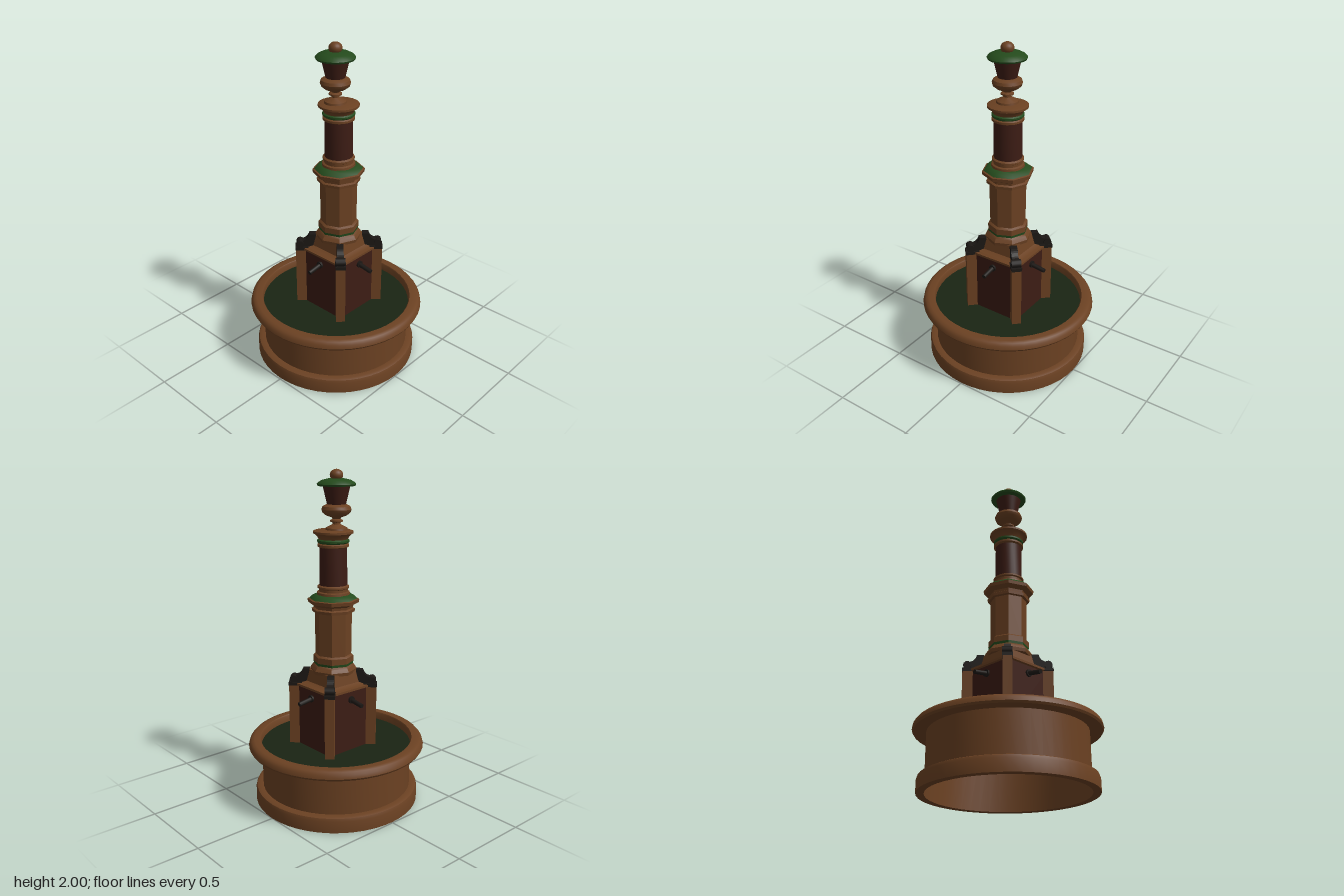
import * as THREE from 'three';
import { toCreasedNormals } from 'three/addons/utils/BufferGeometryUtils.js';

const material = (color) => new THREE.MeshStandardMaterial({ color, side: THREE.DoubleSide });
const stone = material(0x6b4122);
const darkStone = material(0x3c1c14);
const green = material(0x244a1c);
const water = material(0x1a2413);
const metal = material(0x1c1815);

function add(parent, name, geometry, mat, x = 0, y = 0, z = 0) {
  const mesh = new THREE.Mesh(geometry, mat);
  mesh.name = name;
  mesh.position.set(x, y, z);
  parent.add(mesh);
  return mesh;
}

// Turned profile of [radius, height] pairs; few sides give a faceted prism.
function turned(parent, name, profile, mat, sides = 32) {
  const points = profile.map(([r, y]) => new THREE.Vector2(r, y));
  const geometry = toCreasedNormals(new THREE.LatheGeometry(points, sides), 0.6);
  return add(parent, name, geometry, mat);
}

// Four-sided profile given by half widths.
function squareTurned(parent, name, profile, mat) {
  const mesh = turned(parent, name, profile.map(([h, y]) => [h * Math.SQRT2, y]), mat, 4);
  mesh.rotation.y = Math.PI / 4;
  return mesh;
}

function createBasin() {
  const basin = new THREE.Group();
  basin.name = 'basin';
  turned(basin, 'baseBand', [
    [0.455, 0.01], [0.5, 0.01], [0.5, 0.08], [0.494, 0.097], [0.48, 0.103], [0.455, 0.103],
  ], stone, 48);
  turned(basin, 'basinWall', [[0.455, 0.01], [0.455, 0.35]], stone, 48);
  turned(basin, 'basinRim', [
    [0.455, 0.348], [0.528, 0.348], [0.535, 0.36], [0.53, 0.382], [0.518, 0.397],
    [0.5, 0.403], [0.465, 0.402], [0.46, 0.395], [0.458, 0.35],
  ], stone, 48);
  const surface = add(basin, 'water', new THREE.CircleGeometry(0.458, 48), water, 0, 0.355, 0);
  surface.rotation.x = -Math.PI / 2;
  basin.rotation.x = -0.011;
  return basin;
}

// One corner: a diagonal post carrying a dark scroll bracket (built along +z).
function createCorner() {
  const corner = new THREE.Group();
  corner.name = 'cornerPost';
  add(corner, 'post', new THREE.BoxGeometry(0.055, 0.4, 0.075), stone, 0, 0.53, 0.226);
  add(corner, 'postCap', new THREE.BoxGeometry(0.062, 0.02, 0.08), metal, 0, 0.735, 0.226);
  const shape = new THREE.Shape();
  shape.moveTo(0.14, 0.74);
  shape.lineTo(0.25, 0.74);
  shape.quadraticCurveTo(0.265, 0.775, 0.225, 0.785);
  shape.quadraticCurveTo(0.19, 0.79, 0.18, 0.83);
  shape.lineTo(0.14, 0.83);
  const bracket = new THREE.ExtrudeGeometry(shape, { depth: 0.04, bevelEnabled: false, curveSegments: 6 });
  bracket.translate(0, 0, -0.02).rotateY(-Math.PI / 2);
  add(corner, 'scrollBracket', bracket, metal);
  const roll = new THREE.CylinderGeometry(0.024, 0.024, 0.058, 12).rotateZ(Math.PI / 2);
  add(corner, 'scrollRoll', roll, metal, 0, 0.764, 0.236);
  return corner;
}

// One spout, drooping slightly outward along +z.
function createSpout() {
  const spout = new THREE.Group();
  spout.name = 'spout';
  const pipe = new THREE.CylinderGeometry(0.013, 0.014, 0.11, 10).rotateX(Math.PI / 2);
  add(spout, 'pipe', pipe, metal, 0, 0.668, 0.205).rotation.x = 0.15;
  const collar = new THREE.CylinderGeometry(0.021, 0.021, 0.012, 12).rotateX(Math.PI / 2);
  add(spout, 'collar', collar, metal, 0, 0.675, 0.17);
  return spout;
}

function createPedestal() {
  const pedestal = new THREE.Group();
  pedestal.name = 'pedestal';
  add(pedestal, 'panels', new THREE.BoxGeometry(0.325, 0.4, 0.325), darkStone, 0, 0.535, 0);
  squareTurned(pedestal, 'pedestalCap', [
    [0.162, 0.722], [0.173, 0.727], [0.173, 0.74], [0.15, 0.742],
    [0.125, 0.755], [0.112, 0.825], [0, 0.825],
  ], stone);
  for (let i = 0; i < 4; i++) {
    const corner = createCorner();
    corner.rotation.y = (i + 0.5) * Math.PI / 2;
    const spout = createSpout();
    spout.rotation.y = i * Math.PI / 2;
    pedestal.add(corner, spout);
  }
  return pedestal;
}

function createColumn() {
  const column = new THREE.Group();
  column.name = 'column';
  // Octagonal lower stage
  turned(column, 'octagonBase', [
    [0, 0.815], [0.137, 0.815], [0.14, 0.835], [0.127, 0.855], [0.118, 0.865],
  ], stone, 8);
  turned(column, 'octagonBaseTrim', [[0.118, 0.865], [0.12, 0.88]], green, 8);
  turned(column, 'octagonShaft', [
    [0.12, 0.88], [0.12, 0.915], [0.107, 0.925], [0.11, 1.18],
    [0.126, 1.183], [0.128, 1.2], [0.116, 1.207], [0.118, 1.222],
  ], stone, 8);
  turned(column, 'octagonCornice', [
    [0.118, 1.222], [0.15, 1.238], [0.153, 1.258], [0.143, 1.262],
  ], stone, 8);
  turned(column, 'corniceSlope', [
    [0.143, 1.262], [0.12, 1.282], [0.1, 1.288], [0, 1.29],
  ], green, 8);
  // Round upper stage
  turned(column, 'upperBase', [
    [0.098, 1.285], [0.096, 1.3], [0.085, 1.305], [0.085, 1.32],
    [0.093, 1.325], [0.093, 1.335], [0.082, 1.342],
  ], stone, 24);
  turned(column, 'upperShaft', [[0.082, 1.34], [0.08, 1.565]], darkStone, 24);
  turned(column, 'upperCollar', [
    [0.08, 1.56], [0.092, 1.566], [0.092, 1.578], [0.084, 1.584],
  ], stone, 24);
  turned(column, 'collarTrim', [
    [0.084, 1.584], [0.093, 1.592], [0.093, 1.602], [0.085, 1.608],
  ], green, 24);
  turned(column, 'capital', [
    [0.085, 1.608], [0.092, 1.622], [0.104, 1.635], [0.117, 1.642],
    [0.117, 1.654], [0.1, 1.66], [0, 1.662],
  ], stone, 24);
  return column;
}

function createFinial() {
  const finial = new THREE.Group();
  finial.name = 'finial';
  turned(finial, 'bowl', [
    [0.066, 1.655], [0.062, 1.672], [0.04, 1.683], [0.022, 1.693], [0.022, 1.702],
    [0.037, 1.707], [0.037, 1.715], [0.022, 1.722], [0.03, 1.732], [0.06, 1.742],
    [0.08, 1.758], [0.086, 1.776], [0.08, 1.793], [0.058, 1.805], [0, 1.807],
  ], stone);
  turned(finial, 'lanternBody', [[0, 1.803], [0.054, 1.803], [0.079, 1.91], [0, 1.91]], darkStone);
  turned(finial, 'lanternRoof', [
    [0.075, 1.905], [0.107, 1.907], [0.112, 1.917], [0.103, 1.928],
    [0.08, 1.94], [0.045, 1.948], [0, 1.951],
  ], green);
  add(finial, 'ball', new THREE.SphereGeometry(0.038, 20, 14), stone, 0, 1.967, 0).scale.y = 0.87;
  return finial;
}

export function createModel() {
  const model = new THREE.Group();
  model.name = 'fountain';
  const pedestal = createPedestal();
  pedestal.position.set(0.012, 0, -0.018);
  const column = createColumn();
  column.position.set(0.013, 0, -0.013);
  model.add(createBasin(), pedestal, column, createFinial());
  return model;
}
